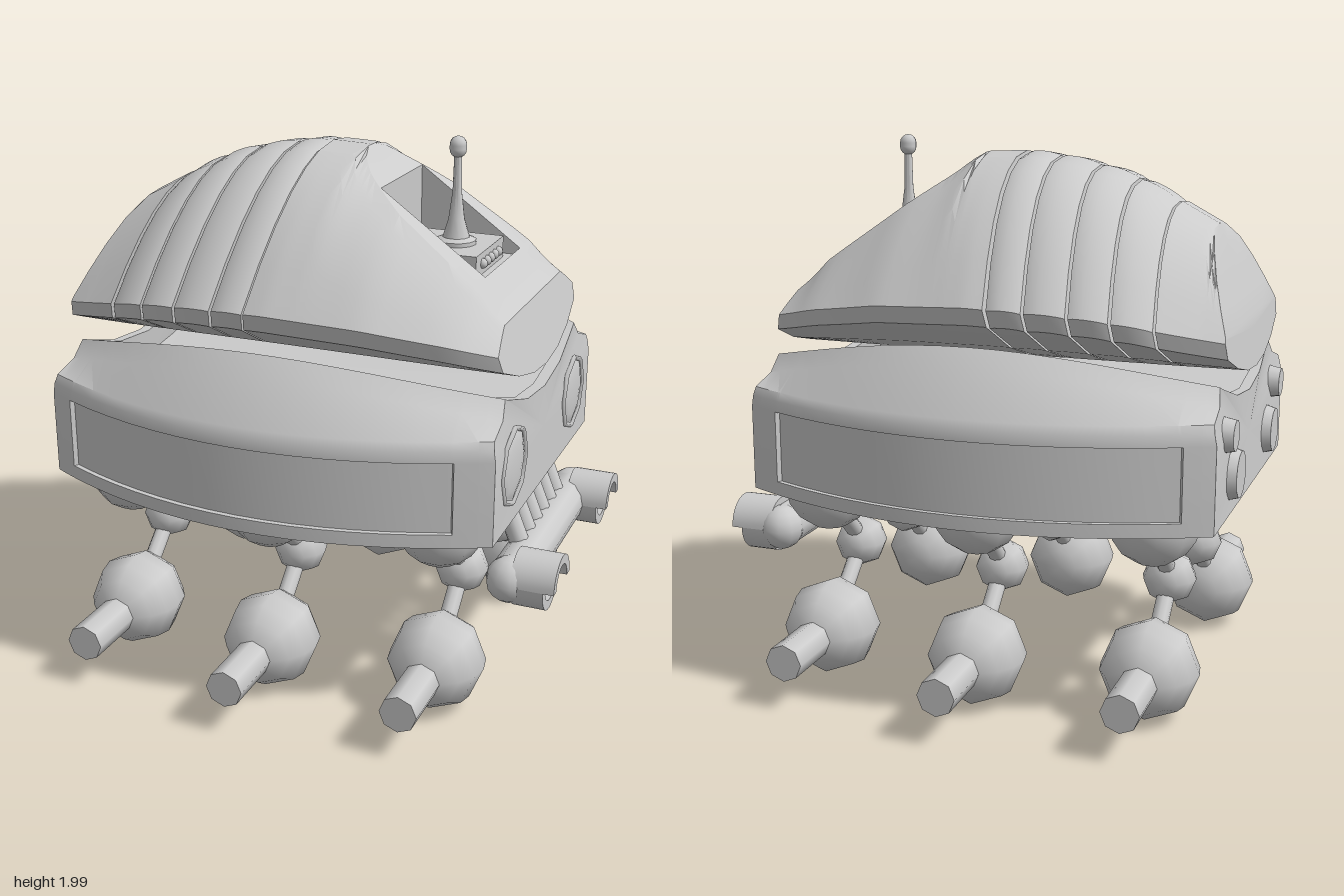
import * as THREE from 'three';
import { toCreasedNormals } from 'three/addons/utils/BufferGeometryUtils.js';

const material = new THREE.MeshStandardMaterial({ color: 0xcccccc, side: THREE.DoubleSide });

function add(parent, name, geometry, x = 0, y = 0, z = 0) {
  const mesh = new THREE.Mesh(geometry, material);
  mesh.name = name;
  mesh.position.set(x, y, z);
  parent.add(mesh);
  return mesh;
}

// Cylinder between two points
function rod(parent, name, a, b, radius, sides = 10) {
  const from = new THREE.Vector3(...a), to = new THREE.Vector3(...b);
  const dir = to.clone().sub(from);
  const mesh = add(parent, name, new THREE.CylinderGeometry(radius, radius, dir.length(), sides));
  mesh.position.copy(from).lerp(to, 0.5);
  mesh.quaternion.setFromUnitVectors(new THREE.Vector3(0, 1, 0), dir.normalize());
}

// Linear interpolation in a short table of [x, value]
function table(rows, x) {
  for (let i = 1; i < rows.length; i++) {
    const [x0, v0] = rows[i - 1], [x1, v1] = rows[i];
    if (x <= x1 || i === rows.length - 1) {
      return v0 + (v1 - v0) * THREE.MathUtils.clamp((x - x0) / (x1 - x0), 0, 1);
    }
  }
}

// Closed loft along x; every half section runs [x, y, z] from top centre to bottom centre
function loft(halves, crease = 0.5) {
  const rings = halves.map(h => [...h, ...h.slice(1, -1).reverse().map(([x, y, z]) => [x, y, -z])]);
  const n = rings[0].length, last = (rings.length - 1) * n;
  const positions = rings.flat(2), index = [];
  for (let i = 0; i < rings.length - 1; i++) {
    for (let j = 0; j < n; j++) {
      const a = i * n + j, b = i * n + (j + 1) % n;
      index.push(a, b, b + n, a, b + n, a + n);
    }
  }
  const centre = ring => [0, 1, 2].map(k => ring.reduce((s, p) => s + p[k], 0) / n);
  positions.push(...centre(rings[0]), ...centre(rings[rings.length - 1]));
  for (let j = 0; j < n; j++) {
    const k = (j + 1) % n;
    index.push(last + n, k, j, last + n + 1, last + j, last + k);
  }
  const geometry = new THREE.BufferGeometry();
  geometry.setAttribute('position', new THREE.Float32BufferAttribute(positions, 3));
  geometry.setIndex(index);
  return toCreasedNormals(geometry, crease);
}

const steps = (a, b, n) => Array.from({ length: n + 1 }, (_, i) => a + (b - a) * i / n);

// Hull section: sunken deck inside a rim, sloping shoulder, inset side band, flanges and belly
function hullSection(x, inset, sunk) {
  const w = 0.84 - 0.22 * ((x + 0.08) / 0.86) ** 2, top = w - 0.17;
  const belly = 0.17 * Math.max(0, 1 - ((x + 0.08) / 0.62) ** 2);
  const rim = z => 1.11 + 0.5 * z * z;
  const half = [0, 0.47, 0.94].map(f => [rim(f * top) - sunk, f * top]);
  half.push([rim(0.94 * top), 0.94 * top], [rim(top), top], [rim(top) - 0.06, top + 0.05],
    [1.12, w - 0.015], [1.09, w], [1.05, w], [1.05, w - inset], [0.79, w - inset], [0.79, w], [0.74, w]);
  for (const f of [0.75, 0.6, 0.45, 0.3, 0.15, 0]) half.push([0.74 - belly * (1 - f * f) ** 2.5, f * w]);
  return half.map(([y, z]) => [x * (1 - 0.2 * Math.max(0, y - 1.05)), y, z]);
}

const shellWidth = [[-0.94, 0.48], [-0.72, 0.56], [-0.58, 0.605], [-0.44, 0.628], [-0.29, 0.642],
  [-0.08, 0.655], [0.28, 0.63], [0.55, 0.56], [0.75, 0.48]];
const shellTop = [[-0.94, 1.66], [-0.72, 1.785], [-0.58, 1.865], [-0.44, 1.91], [-0.29, 1.94], [-0.16, 1.95],
  [0.05, 1.945], [0.3, 1.84], [0.5, 1.71], [0.75, 1.53]];
const shellLean = [[-0.16, 0.13], [0.15, 0], [0.6, 0], [0.75, -0.25]];

// Shell section: arch trimmed by the nose and tail slopes, with an optional recess
function shellSection(X, swell = 0, recess = false) {
  const w = table(shellWidth, X) + swell, H = table(shellTop, X) + swell;
  const lean = table(shellLean, X);
  const under = z => 1.2 + 0.5 * z * z;
  const edge = under(w) + 0.05;
  const cut = Math.max(edge, Math.min(1.38 + 4 * (X + 0.94), 1.945 - 0.72 * (X - 0.05)));
  const arch = z => edge + (H - edge) * (1 - (z / w) ** 2.1);
  const zc = cut < H ? Math.max(0.02, w * ((H - cut) / (H - edge)) ** (1 / 2.1)) : 0.2 * w;
  const zr = Math.min(0.21, zc * 0.98);
  const floor = z => recess ? 1.53 : Math.min(arch(z), cut);
  const half = [[floor(0), 0], [floor(zr), zr], [Math.min(arch(zr), cut), zr]];
  for (const f of [0, 0.2, 0.4, 0.6, 0.8, 1]) {
    const z = zc + (w - zc) * f;
    half.push([Math.min(arch(z), cut), z]);
  }
  for (const f of [0.97, 0.66, 0.33, 0]) half.push([under(f * w), f * w]);
  return half.map(([y, z]) => [X + lean * (y - 1.28), y, z]);
}

function addLeg(parent, x, side, shift) {
  const leg = new THREE.Group();
  leg.name = 'leg';
  const at = (y, z) => [x, y, side * (z + shift)];
  add(leg, 'hipSocket', new THREE.SphereGeometry(0.165, 10, 8), ...at(0.735, 0.48));
  rod(leg, 'upperLeg', at(0.66, 0.45), at(0.44, 0.22), 0.032);
  add(leg, 'knee', new THREE.SphereGeometry(0.1, 8, 6).rotateX(Math.PI / 2), ...at(0.435, 0.22));
  rod(leg, 'lowerLeg', at(0.43, 0.22), at(0.19, 0.49), 0.032);
  add(leg, 'footBall', new THREE.SphereGeometry(0.18, 8, 8).rotateX(Math.PI / 2), ...at(0.185, 0.49));
  rod(leg, 'footPeg', at(0.185, 0.49), at(0.185, 0.89), 0.069, 8);
  parent.add(leg);
}

export function createModel() {
  const model = new THREE.Group();
  model.name = 'walker';

  // Hull with inset side bands and a sunken deck
  const hull = [
    ...[-0.94, -0.9].map(x => hullSection(x, 0, 0)),
    ...[-0.895, -0.84].map(x => hullSection(x, 0, 0.1)),
    ...steps(-0.83, 0.64, 14).map(x => hullSection(x, 0.02, 0.1)),
    ...[0.65, 0.725].map(x => hullSection(x, 0, 0.1)),
    ...[0.73, 0.775].map(x => hullSection(x, 0, 0)),
  ];
  add(model, 'hull', loft(hull, 0.55));

  // Tail cap, four ribs and nose of the upper shell, parted by thin slits
  add(model, 'shellTail', loft(steps(-0.94, -0.725, 10).map(X => shellSection(X))));
  const slits = [-0.72, -0.58, -0.44, -0.29, -0.16];
  for (let i = 0; i < 4; i++) {
    const a = slits[i] + 0.005, b = slits[i + 1] - 0.005;
    const swell = [-0.007, 0, 0.004, 0.004, 0, -0.007];
    add(model, 'shellRib', loft([0, 0.15, 0.4, 0.6, 0.85, 1].map((f, k) =>
      shellSection(a + (b - a) * f, swell[k])), 0.7));
  }
  const nose = [
    ...steps(-0.155, 0.2, 12).map(X => shellSection(X)),
    ...steps(0.2, 0.59, 8).map(X => shellSection(X, 0, true)),
    ...steps(0.59, 0.75, 5).map(X => shellSection(X)),
  ];
  add(model, 'shellNose', loft(nose));

  // Console with buttons and the antenna in the recess
  add(model, 'console', new THREE.BoxGeometry(0.34, 0.085, 0.32), 0.37, 1.5675, 0);
  for (let i = -2; i <= 2; i++) add(model, 'button', new THREE.SphereGeometry(0.019, 8, 6), 0.542, 1.57, i * 0.045);
  const mast = [[0, 1.6], [0.075, 1.6], [0.075, 1.625], [0.05, 1.635], [0.03, 1.7], [0.017, 1.8], [0.014, 1.93]];
  add(model, 'antenna', toCreasedNormals(new THREE.LatheGeometry(mast.map(p => new THREE.Vector2(...p)), 12), 0.6), 0.41);
  add(model, 'antennaTip', new THREE.CapsuleGeometry(0.032, 0.014, 4, 10), 0.41, 1.96, 0);

  for (const side of [1, -1]) {
    // Headlights
    const ring = new THREE.TorusGeometry(0.142, 0.01, 4, 8).rotateY(Math.PI / 2);
    add(model, 'headlightRim', ring, 0.773, 0.95, side * 0.395);
    const dome = add(model, 'headlight', new THREE.SphereGeometry(0.137, 8, 8).rotateZ(Math.PI / 2), 0.765, 0.95, side * 0.395);
    dome.scale.x = 0.17;

    // Tail lights
    for (const [y, z, r] of [[0.88, 0.33, 0.1], [1.045, 0.44, 0.065]]) {
      add(model, 'tailLight', new THREE.CylinderGeometry(r * 0.85, r, 0.05, 12).rotateZ(Math.PI / 2), -0.945, y, side * z);
    }

    // Notched nozzles on the bumper bar, the upper half longer than the lower
    const nozzle = new THREE.Group();
    nozzle.name = 'nozzle';
    for (const [start, length] of [[0, 0.16], [Math.PI, 0.12]]) {
      const wall = new THREE.Shape();
      wall.absarc(0, 0, 0.105, start, start + Math.PI, false);
      wall.absarc(0, 0, 0.07, start + Math.PI, start, true);
      add(nozzle, 'nozzleWall', toCreasedNormals(new THREE.ExtrudeGeometry(wall,
        { depth: length, bevelEnabled: false, curveSegments: 8 }).rotateY(Math.PI / 2), 0.6));
    }
    add(nozzle, 'nozzleCore', new THREE.CylinderGeometry(0.075, 0.075, 0.06, 14).rotateZ(Math.PI / 2), 0.03);
    nozzle.position.set(0.8, 0.525, side * 0.38);
    model.add(nozzle);
    add(model, 'barEnd', new THREE.SphereGeometry(0.085, 10, 8), 0.78, 0.525, side * 0.42);

    // Legs, the middle pair set further out
    for (const x of [-0.7, -0.08, 0.54]) addLeg(model, x, side, x === -0.08 ? 0.085 : 0);
  }

  // Bumper bar and its hoses
  rod(model, 'bumperBar', [0.785, 0.525, -0.42], [0.785, 0.525, 0.42], 0.082, 12);
  for (let i = 0; i < 6; i++) {
    const z = (i - 2.5) * 0.096;
    rod(model, 'hose', [0.69, 0.76, z], [0.78, 0.54, z], 0.037);
  }
  return model;
}
